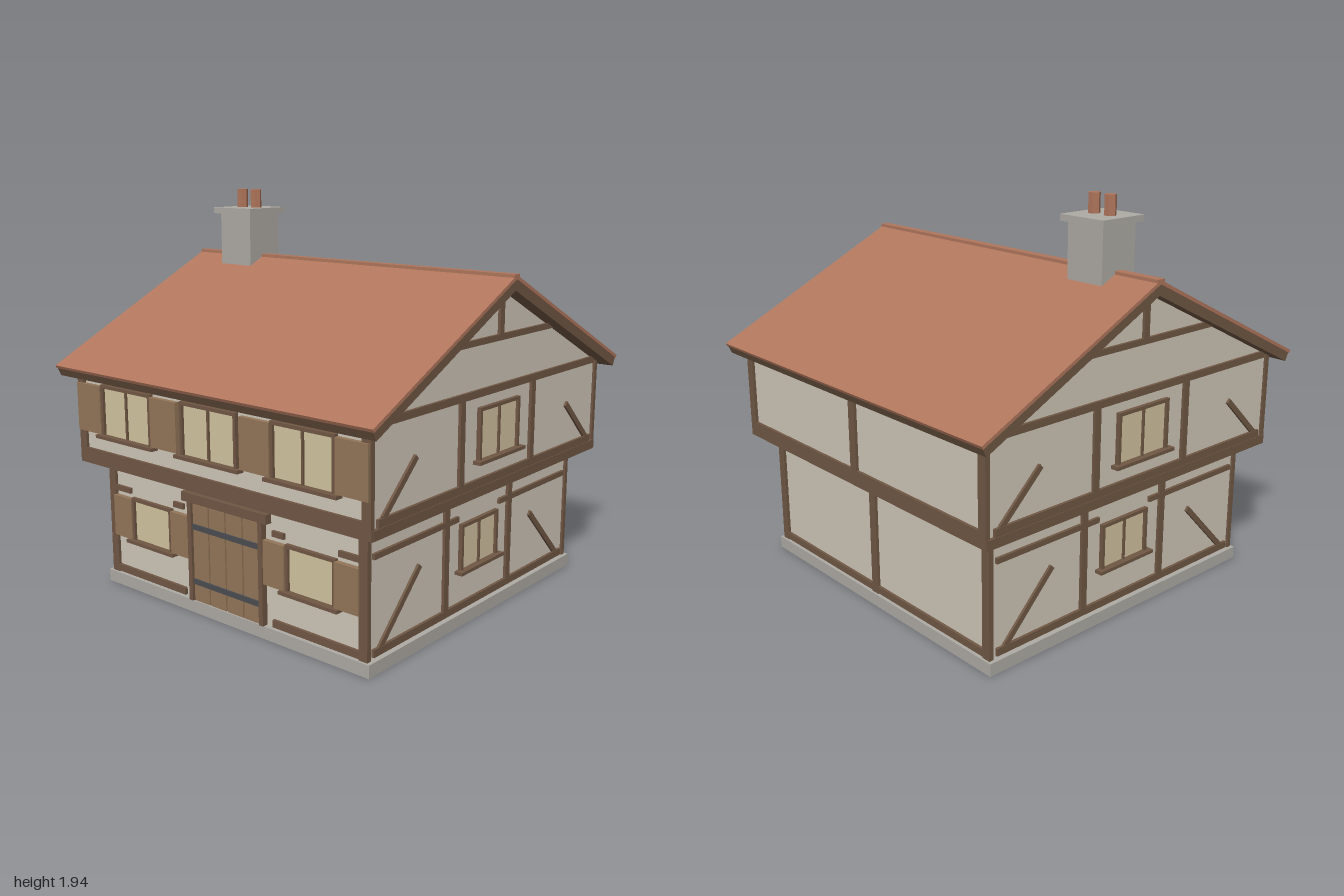
import * as THREE from 'three';

const mat = (color) => new THREE.MeshStandardMaterial({ color, flatShading: true });
const plaster = mat(0xcfc6b8), timber = mat(0x705744), tile = mat(0xb0765c), stone = mat(0xaeaba5);
const glass = mat(0xd3c4a0), wood = mat(0x937659), iron = mat(0x4a4d52);

// Box given by its lower and upper corners
function block(parent, name, material, x0, x1, y0, y1, z0, z1) {
  const mesh = new THREE.Mesh(new THREE.BoxGeometry(x1 - x0, y1 - y0, z1 - z0), material);
  mesh.position.set((x0 + x1) / 2, (y0 + y1) / 2, (z0 + z1) / 2);
  mesh.name = name;
  parent.add(mesh);
  return mesh;
}

// Timber lying on a wall panel (wall surface is local z = 0)
const beam = (g, name, x0, x1, y0, y1, d = 0.014) => block(g, name, timber, x0, x1, y0, y1, -0.01, d);

// Diagonal brace between two points of a panel
function brace(g, xa, ya, xb, yb) {
  const length = Math.hypot(xb - xa, yb - ya);
  const mesh = block(g, 'diagonalBrace', timber, -length / 2, length / 2, -0.014, 0.014, -0.01, 0.012);
  mesh.position.x = (xa + xb) / 2;
  mesh.position.y = (ya + yb) / 2;
  mesh.rotation.z = Math.atan2(yb - ya, xb - xa);
}

// Framed window with sill and optional mullion
function windowUnit(panel, cx, w, y0, y1, mullion) {
  const g = new THREE.Group();
  g.name = 'window';
  g.position.x = cx;
  panel.add(g);
  const h = w / 2, t = 0.016;
  block(g, 'glass', glass, -h + t, h - t, y0, y1 - t, -0.01, 0.006);
  for (const s of [-1, 1]) {
    const c = s * (h - t / 2);
    beam(g, 'frameSide', c - t / 2, c + t / 2, y0, y1, 0.02);
  }
  beam(g, 'frameTop', -h, h, y1 - t, y1, 0.02);
  if (mullion) beam(g, 'mullion', -0.005, 0.005, y0, y1 - t, 0.016);
  beam(g, 'sill', -h - 0.025, h + 0.025, y0 - 0.012, y0 + 0.004, 0.04);
}

function panel(root, name, x, z, angle) {
  const g = new THREE.Group();
  g.name = name;
  g.position.set(x, 0, z);
  g.rotation.y = angle;
  root.add(g);
  return g;
}

// Extrude a (z, y) outline along x, centred
function extrudeX(root, name, material, points, length) {
  const shape = new THREE.Shape(points.map(([z, y]) => new THREE.Vector2(z, y)));
  const geo = new THREE.ExtrudeGeometry(shape, { depth: length, bevelEnabled: false });
  geo.translate(0, 0, -length / 2);
  geo.rotateY(Math.PI / 2);
  const mesh = new THREE.Mesh(geo, material);
  mesh.name = name;
  root.add(mesh);
}

function buildFront(root) {
  const low = panel(root, 'lowerFront', 0, 0.815, 0), up = panel(root, 'upperFront', 0, 0.91, 0);
  beam(low, 'headBeam', -0.78, 0.78, 0.597, 0.628);
  beam(up, 'bottomRail', -0.87, 0.87, 0.68, 0.712);
  for (const s of [-1, 1]) {
    const span = (a, b) => [Math.min(s * a, s * b), Math.max(s * a, s * b)];
    beam(low, 'cornerPost', ...span(0.775, 0.822), 0.06, 0.635);
    beam(low, 'soleBeam', ...span(0.285, 0.775), 0.065, 0.1);
    beam(low, 'midRail', ...span(0.665, 0.775), 0.49, 0.517);
    beam(low, 'midRail', ...span(0.285, 0.355), 0.49, 0.517);
    beam(up, 'cornerPost', ...span(0.865, 0.912), 0.68, 1.1);
    windowUnit(low, s * 0.51, 0.285, 0.257, 0.475, false);
    windowUnit(up, s * 0.555, 0.355, 0.795, 1.045, true);
    for (const [a, b] of [[0.65, 0.78], [0.24, 0.365]])
      block(low, 'shutter', wood, ...span(a, b), 0.26, 0.467, 0, 0.025);
    for (const [a, b] of [[0.735, 0.905], [0.2, 0.375]])
      block(up, 'shutter', wood, ...span(a, b), 0.8, 1.035, 0, 0.024);
    beam(low, 'doorPost', ...span(0.215, 0.24), 0.06, 0.55, 0.03);
  }
  windowUnit(up, 0, 0.355, 0.795, 1.045, true);

  // Plank door with iron straps
  beam(low, 'doorLintel', -0.272, 0.272, 0.545, 0.59, 0.035);
  block(low, 'doorBacking', timber, -0.22, 0.22, 0.06, 0.55, -0.01, 0.008);
  for (let i = 0; i < 4; i++) {
    const c = (i - 1.5) * 0.109;
    block(low, 'doorPlank', wood, c - 0.05, c + 0.05, 0.06, 0.535, 0, 0.018);
  }
  for (const y of [0.157, 0.427]) block(low, 'doorStrap', iron, -0.212, 0.212, y - 0.013, y + 0.013, 0, 0.025);
}

function buildGable(root, side) {
  const low = panel(root, 'lowerGable', side * 0.81, 0, side * Math.PI / 2);
  const up = panel(root, 'upperGable', side * 0.9, 0, side * Math.PI / 2);
  beam(low, 'headBeam', -0.785, 0.785, 0.597, 0.628);
  beam(low, 'soleBeam', -0.785, 0.785, 0.068, 0.103);
  beam(up, 'bottomRail', -0.875, 0.875, 0.68, 0.716);
  beam(up, 'tieBeam', -0.88, 0.88, 1.088, 1.122);
  beam(up, 'collarBeam', -0.49, 0.49, 1.318, 1.346);
  beam(up, 'kingPost', -0.017, 0.017, 1.34, 1.56);
  for (const s of [-1, 1]) {
    beam(low, 'stud', s * 0.262 - 0.018, s * 0.262 + 0.018, 0.1, 0.6);
    beam(up, 'stud', s * 0.293 - 0.018, s * 0.293 + 0.018, 0.71, 1.09);
    beam(low, 'midRail', Math.min(s * 0.17, s * 0.785), Math.max(s * 0.17, s * 0.785), 0.5, 0.526);
    brace(low, s * 0.74, 0.095, s * 0.46, 0.38);
    brace(up, s * 0.84, 0.71, s * 0.62, 0.92);
  }
  windowUnit(low, 0, 0.305, 0.26, 0.482, true);
  windowUnit(up, 0, 0.33, 0.8, 1.04, true);
}

function buildBack(root) {
  const low = panel(root, 'lowerBack', 0, -0.815, Math.PI), up = panel(root, 'upperBack', 0, -0.91, Math.PI);
  beam(low, 'headBeam', -0.78, 0.78, 0.597, 0.628);
  beam(low, 'soleBeam', -0.78, 0.78, 0.065, 0.1);
  beam(up, 'bottomRail', -0.87, 0.87, 0.68, 0.712);
  for (const x of [-1, 0, 1]) {
    beam(low, 'post', x * 0.799 - 0.023, x * 0.799 + 0.023, 0.06, 0.635);
    beam(up, 'post', x * 0.889 - 0.023, x * 0.889 + 0.023, 0.68, 1.1);
  }
}

function buildRoof(root) {
  // Timber deck with barge edges, then a thin tile layer on top
  const under = [[0, 1.595], [0.992, 1.107], [0.972, 1.066], [0, 1.542], [-0.972, 1.066], [-0.992, 1.107]];
  const tiles = [[0, 1.61], [1, 1.118], [0.993, 1.104], [0, 1.592], [-0.993, 1.104], [-1, 1.118]];
  extrudeX(root, 'roofDeck', timber, under, 1.95);
  extrudeX(root, 'roofTiles', tile, tiles, 1.96);
  block(root, 'ridgeCap', tile, -0.98, 0.98, 1.59, 1.614, -0.022, 0.022);
}

function buildChimney(root) {
  const g = new THREE.Group();
  g.name = 'chimney';
  g.position.x = -0.632;
  root.add(g);
  block(g, 'stack', stone, -0.104, 0.104, 1.5, 1.825, -0.104, 0.104);
  block(g, 'cap', stone, -0.13, 0.13, 1.818, 1.848, -0.13, 0.13);
  for (const s of [-1, 1]) {
    const pot = new THREE.Mesh(new THREE.CylinderGeometry(0.028, 0.028, 0.1, 6), tile);
    pot.name = 'chimneyPot';
    pot.position.set(s * 0.048, 1.89, 0);
    pot.rotation.y = Math.PI / 6;
    g.add(pot);
  }
}

export function createModel() {
  const root = new THREE.Group();
  root.name = 'timberFramedHouse';

  // Walls
  block(root, 'plinth', stone, -0.84, 0.84, 0, 0.06, -0.84, 0.84);
  block(root, 'lowerWalls', plaster, -0.81, 0.81, 0.05, 0.66, -0.815, 0.815);
  extrudeX(root, 'upperWalls', plaster,
    [[-0.91, 0.655], [0.91, 0.655], [0.91, 1.11], [0, 1.56], [-0.91, 1.11]], 1.8);

  // Jetty beams and joists under the overhanging floor
  for (const s of [-1, 1]) {
    block(root, 'jettyBeam', timber, -0.915, 0.915, 0.635, 0.68, s * 0.897 - 0.025, s * 0.897 + 0.025);
    block(root, 'jettySideBeam', timber, s * 0.892 - 0.025, s * 0.892 + 0.025, 0.635, 0.68, -0.91, 0.91);
    for (let i = 0; i < 9; i++) {
      const p = (i - 4) * 0.2;
      block(root, 'joist', timber, p - 0.02, p + 0.02, 0.63, 0.66, s * 0.855 - 0.055, s * 0.855 + 0.055);
    }
  }

  buildFront(root);
  buildBack(root);
  for (const s of [-1, 1]) buildGable(root, s);
  buildRoof(root);
  buildChimney(root);
  return root;
}
